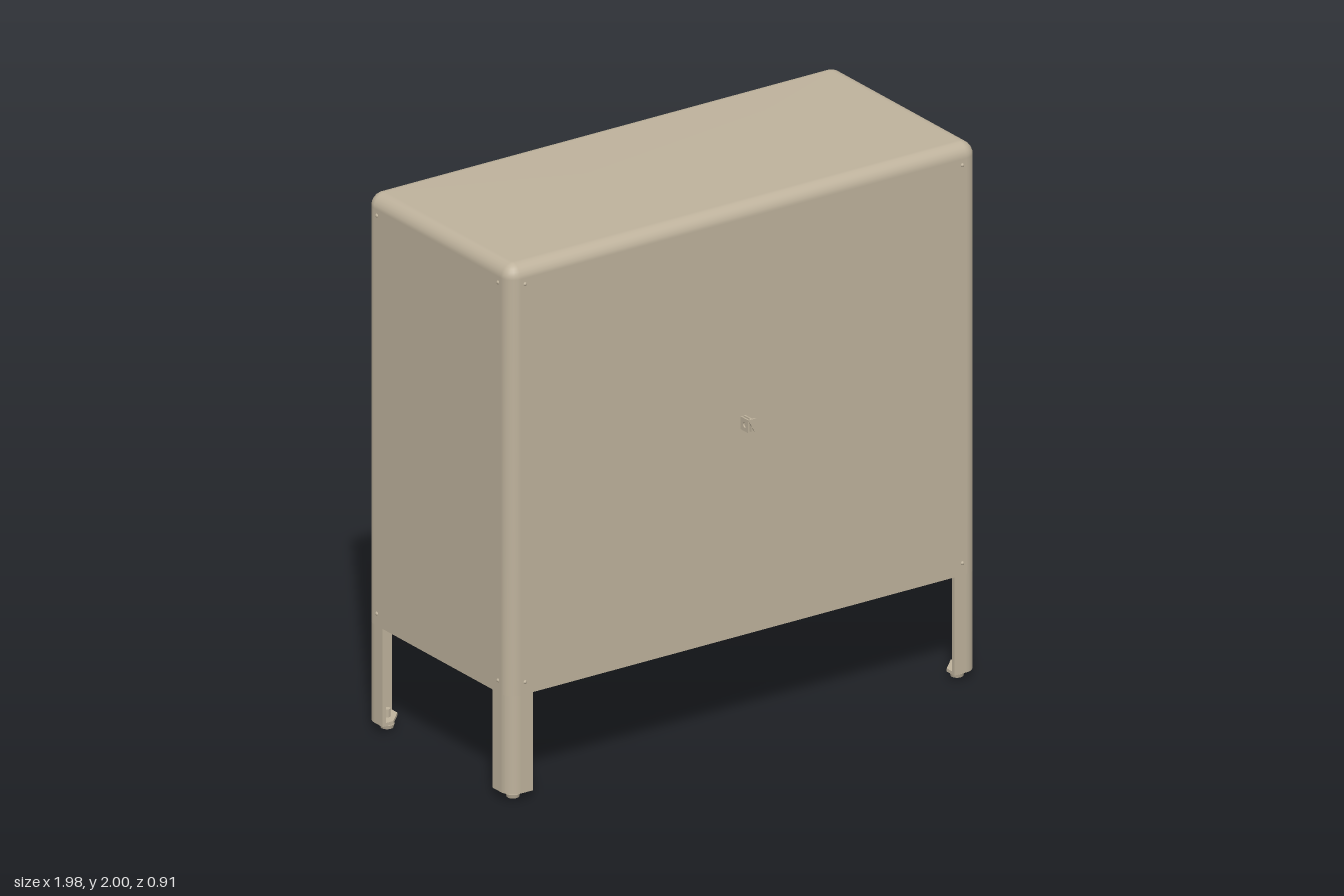
import * as THREE from 'three';

const X = 0.987, ZF = 0.408, ZB = -0.451, ZC = (ZF + ZB) / 2, D = (ZF - ZB) / 2;
const R = 0.05, BOTTOM = 0.395, FLOOR = 0.5, TOP = 1.997;

// Rounded rectangle points in (x, z), counter-clockwise in shape space
function outline(inset, radius, steps = 6) {
  const pts = [], w = X - inset, d = D - inset;
  for (const [k, sx, sy] of [[0, 1, 1], [1, -1, 1], [2, -1, -1], [3, 1, -1]]) {
    for (let i = 0; i <= steps; i++) {
      const a = (k + i / steps) * Math.PI / 2;
      pts.push(new THREE.Vector2(sx * (w - radius) + radius * Math.cos(a), sy * (d - radius) + radius * Math.sin(a)));
    }
  }
  return pts;
}

// Upright extrusion of a flat shape, starting at height y
function upright(shape, y, height) {
  const g = new THREE.ExtrudeGeometry(shape, { depth: height, bevelEnabled: false, curveSegments: 6 });
  return g.rotateX(-Math.PI / 2).translate(0, y, 0);
}

// Outer skin: rounded rectangles stacked upward and curling in over the top
function shellGeometry() {
  const rings = [[BOTTOM, 0], [TOP - R, 0]];
  for (let i = 1; i <= 6; i++) {
    const a = i / 6 * Math.PI / 2;
    rings.push([TOP - R + R * Math.sin(a), R * (1 - Math.cos(a))]);
  }
  const pos = [], index = [];
  let n = 0;
  for (const [y, inset] of rings) {
    const pts = outline(inset, Math.max(R - inset, 0.002));
    n = pts.length;
    for (const p of pts) pos.push(p.x, y, ZC - p.y);
  }
  for (let r = 0; r < rings.length - 1; r++) {
    for (let i = 0; i < n; i++) {
      const a = r * n + i, b = r * n + (i + 1) % n;
      index.push(a, b, b + n, a, b + n, a + n);
    }
  }
  const last = (rings.length - 1) * n, centre = pos.length / 3;
  pos.push(0, TOP, ZC);
  for (let i = 0; i < n; i++) index.push(last + i, last + (i + 1) % n, centre);
  const g = new THREE.BufferGeometry();
  g.setAttribute('position', new THREE.Float32BufferAttribute(pos, 3));
  g.setIndex(index);
  g.computeVertexNormals();
  return g;
}

// Corner footprints; the outer corner lies at the origin
function cornerShape(points) {
  const s = new THREE.Shape();
  s.moveTo(0, R);
  s.absarc(R, R, R, Math.PI, Math.PI * 1.5, false);
  for (const [x, y] of points) s.lineTo(x, y);
  s.closePath();
  return s;
}

export function createModel() {
  const model = new THREE.Group();
  model.name = 'cabinet';
  const paint = new THREE.MeshStandardMaterial({ color: 0xbeb29c });
  paint.name = 'beige paint';

  const add = (parent, name, geometry, x = 0, y = 0, z = 0) => {
    const m = new THREE.Mesh(geometry, paint);
    m.name = name;
    m.position.set(x, y, z);
    parent.add(m);
    return m;
  };

  add(model, 'cabinetShell', shellGeometry());

  // Skirt lining and recessed floor
  const skirt = new THREE.Shape(outline(0.0015, R));
  skirt.holes.push(new THREE.Path(outline(0.01, 0.04).reverse()));
  add(model, 'skirt', upright(skirt, BOTTOM, FLOOR - BOTTOM), 0, 0, ZC);
  add(model, 'floorPanel', upright(new THREE.Shape(outline(0.004, R)), FLOOR, 0.012), 0, 0, ZC);

  // Angle legs with adjustable feet and screws, one per corner
  const t = 0.013, w = 0.1, r = R - t;
  const angle = cornerShape([[w, 0], [w, t], [R, t]]);
  angle.absarc(R, R, r, Math.PI * 1.5, Math.PI, true);
  angle.lineTo(t, w);
  angle.lineTo(0, w);
  const legGeo = upright(angle, 0.028, 0.465);
  const plateGeo = upright(cornerShape([[w, 0], [w, 0.045], [0.045, w], [0, w]]), 0.028, 0.012);
  const footGeo = new THREE.CylinderGeometry(0.026, 0.022, 0.014, 16);
  const stemGeo = new THREE.CylinderGeometry(0.012, 0.012, 0.06, 12);
  const hexGeo = new THREE.CylinderGeometry(0.02, 0.02, 0.012, 6);
  const screwGeo = new THREE.SphereGeometry(0.008, 10, 8);
  const nutGeo = new THREE.CylinderGeometry(0.012, 0.012, 0.016, 6);

  const corners = [[-X, ZF], [X, ZF], [X, ZB], [-X, ZB]];
  const names = ['frontRightLeg', 'frontLeftLeg', 'backLeftLeg', 'backRightLeg'];
  corners.forEach(([x, z], k) => {
    const leg = new THREE.Group();
    leg.name = names[k];
    leg.position.set(x - Math.sign(x) * 0.001, 0, z - Math.sign(z) * 0.001);
    leg.rotation.y = k * Math.PI / 2;
    model.add(leg);
    add(leg, 'legAngle', legGeo);
    add(leg, 'footPlate', plateGeo);
    add(leg, 'foot', footGeo, 0.052, 0.007, -0.052);
    add(leg, 'footStem', stemGeo, 0.052, 0.04, -0.052);
    add(leg, 'footNut', hexGeo, 0.052, 0.021, -0.052);
    for (const y of [0.44, 1.925]) {
      add(leg, 'screwSide', screwGeo, 0.002, y, -0.066);
      add(leg, 'screwFace', screwGeo, 0.066, y, -0.002);
    }
    add(leg, 'nutSide', nutGeo, t + 0.008, 0.44, -0.066).rotation.z = Math.PI / 2;
    add(leg, 'nutFace', nutGeo, 0.066, 0.44, -t - 0.008).rotation.x = Math.PI / 2;
  });

  // Door latch: a pierced hasp and a rounded turn plate
  const latch = new THREE.Group();
  latch.name = 'latch';
  latch.position.set(0, 1.19, ZF);
  model.add(latch);
  const hasp = new THREE.Shape([[0, -0.024], [0.045, -0.024], [0.045, 0.024], [0, 0.024]].map(p => new THREE.Vector2(...p)));
  const hole = new THREE.Path();
  hole.absarc(0.025, 0, 0.01, 0, Math.PI * 2, true);
  hasp.holes.push(hole);
  const haspGeo = new THREE.ExtrudeGeometry(hasp, { depth: 0.006, bevelEnabled: false });
  for (const x of [-0.008, 0.006]) add(latch, 'hasp', haspGeo, x, 0, 0).rotation.y = -Math.PI / 2;
  const turn = new THREE.Shape();
  turn.moveTo(-0.014, -0.024);
  turn.absarc(0.013, 0, 0.024, -Math.PI / 2, Math.PI / 2, false);
  turn.lineTo(-0.014, 0.024);
  turn.closePath();
  add(latch, 'turnPlate', new THREE.ExtrudeGeometry(turn, { depth: 0.006, bevelEnabled: false }), 0, 0, 0.041);

  return model;
}
